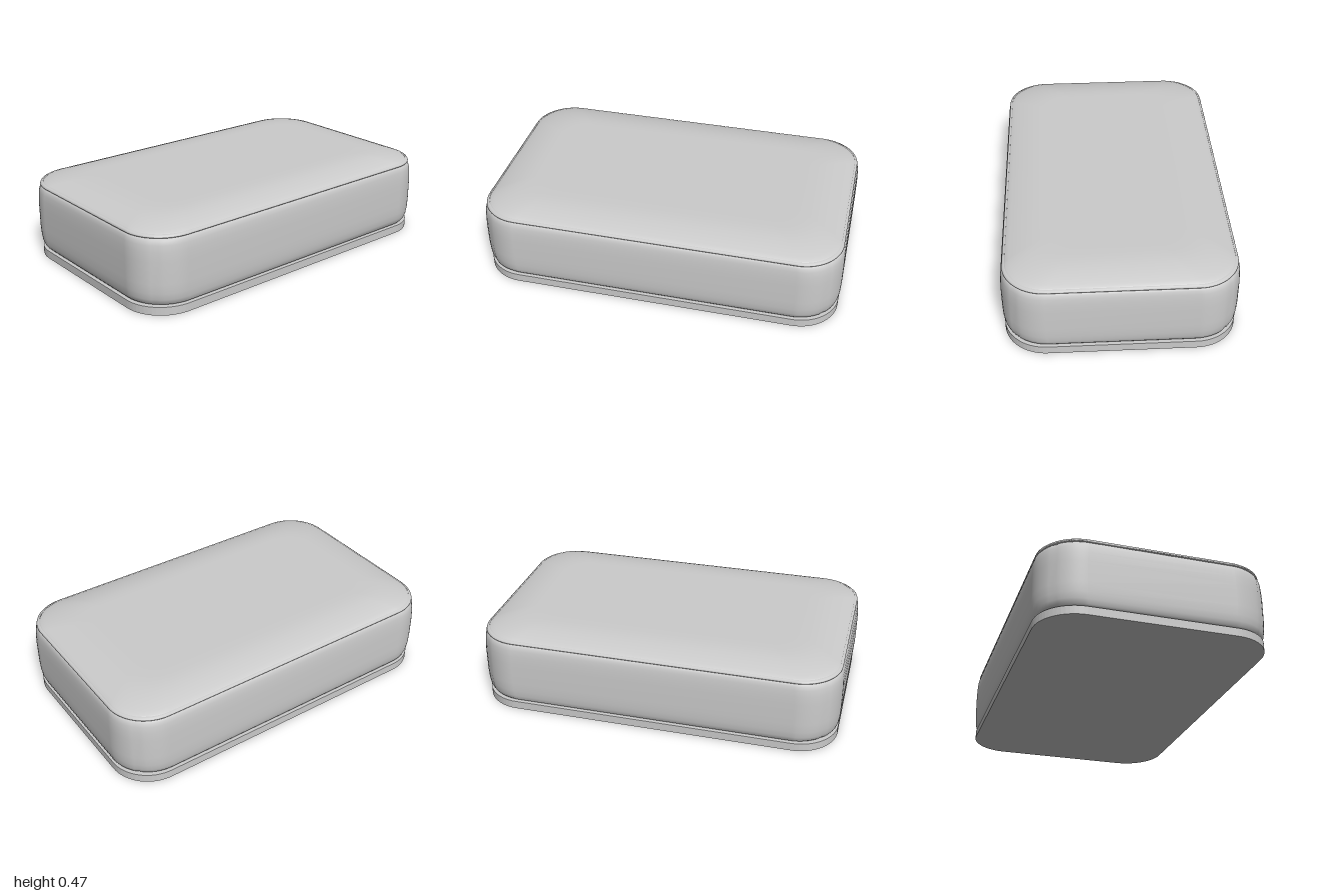
import * as THREE from 'three';

const HALF_X = 0.615, HALF_Z = 1.0, RADIUS = 0.225, STEPS = 16;

// Rounded-rectangle outline, inset by d; a small notch marks each corner seam.
function outline(d, notch) {
  const r = RADIUS - d * 0.35, pts = [];
  const cx = HALF_X - d - r, cz = HALF_Z - d - r;
  const signs = [[1, 1], [-1, 1], [-1, -1], [1, -1]];
  signs.forEach(([sx, sz], k) => {
    for (let i = 0; i <= STEPS; i++) {
      const a = (k + i / STEPS) * Math.PI / 2;
      const rr = i === STEPS / 2 ? r - notch : r;
      pts.push([sx * cx + rr * Math.cos(a), sz * cz + rr * Math.sin(a)]);
    }
  });
  return pts;
}

// Skin a stack of outlines given as [inset, height]; caps close to the centre.
function loft(profile, { notch = 0, capTop = false, capBottom = false } = {}) {
  const rings = profile.map(([d, y]) => outline(d, notch).map(([x, z]) => [x, y, z]));
  const n = rings[0].length;
  const flat = y => Array.from({ length: n }, () => [0, y, 0]);
  if (capTop) rings.push(flat(profile.at(-1)[1]));
  if (capBottom) rings.unshift(flat(profile[0][1]), rings[0].map(p => [...p]));
  const index = [];
  for (let i = 0; i < rings.length - 1; i++) {
    if (capBottom && i === 1) continue; // sharp edge under the bottom cap
    for (let j = 0; j < n; j++) {
      const a = i * n + j, b = i * n + (j + 1) % n;
      index.push(a, a + n, b, b, a + n, b + n);
    }
  }
  const geo = new THREE.BufferGeometry();
  geo.setAttribute('position', new THREE.Float32BufferAttribute(rings.flat(2), 3));
  geo.setIndex(index);
  geo.computeVertexNormals();
  return geo;
}

export function createModel() {
  const group = new THREE.Group();
  const material = new THREE.MeshStandardMaterial({ color: 0xcccccc });
  const add = (name, geo) => {
    const mesh = new THREE.Mesh(geo, material);
    mesh.name = name;
    group.add(mesh);
  };

  // Flat base board with crisp edges
  const shape = new THREE.Shape(outline(0.007, 0).map(([x, z]) => new THREE.Vector2(x, z)));
  const board = new THREE.ExtrudeGeometry(shape, { depth: 0.045, bevelEnabled: false });
  board.rotateX(Math.PI / 2).translate(0, 0.045, 0);
  add('baseBoard', board);

  // Padded side band, tucked in at the bottom and at the top seam
  add('sidePanel', loft([
    [0.032, 0.045], [0.022, 0.051], [0.013, 0.062], [0.006, 0.085], [0.002, 0.12],
    [0, 0.17], [0, 0.29], [0.002, 0.34], [0.005, 0.375], [0.01, 0.395], [0.016, 0.404], [0.024, 0.407],
  ], { notch: 0.003, capBottom: true }));

  // Narrow rolled seam between the side band and the top
  add('seamPiping', loft([
    [0.024, 0.407], [0.014, 0.409], [0.012, 0.413], [0.014, 0.419], [0.019, 0.424], [0.026, 0.425],
  ]));

  // Softly domed top panel
  add('topPanel', loft([
    [0.026, 0.423], [0.031, 0.428], [0.05, 0.435], [0.08, 0.444], [0.115, 0.452],
    [0.155, 0.459], [0.195, 0.463], [0.235, 0.4648], [0.28, 0.465],
  ], { capTop: true }));

  return group;
}
